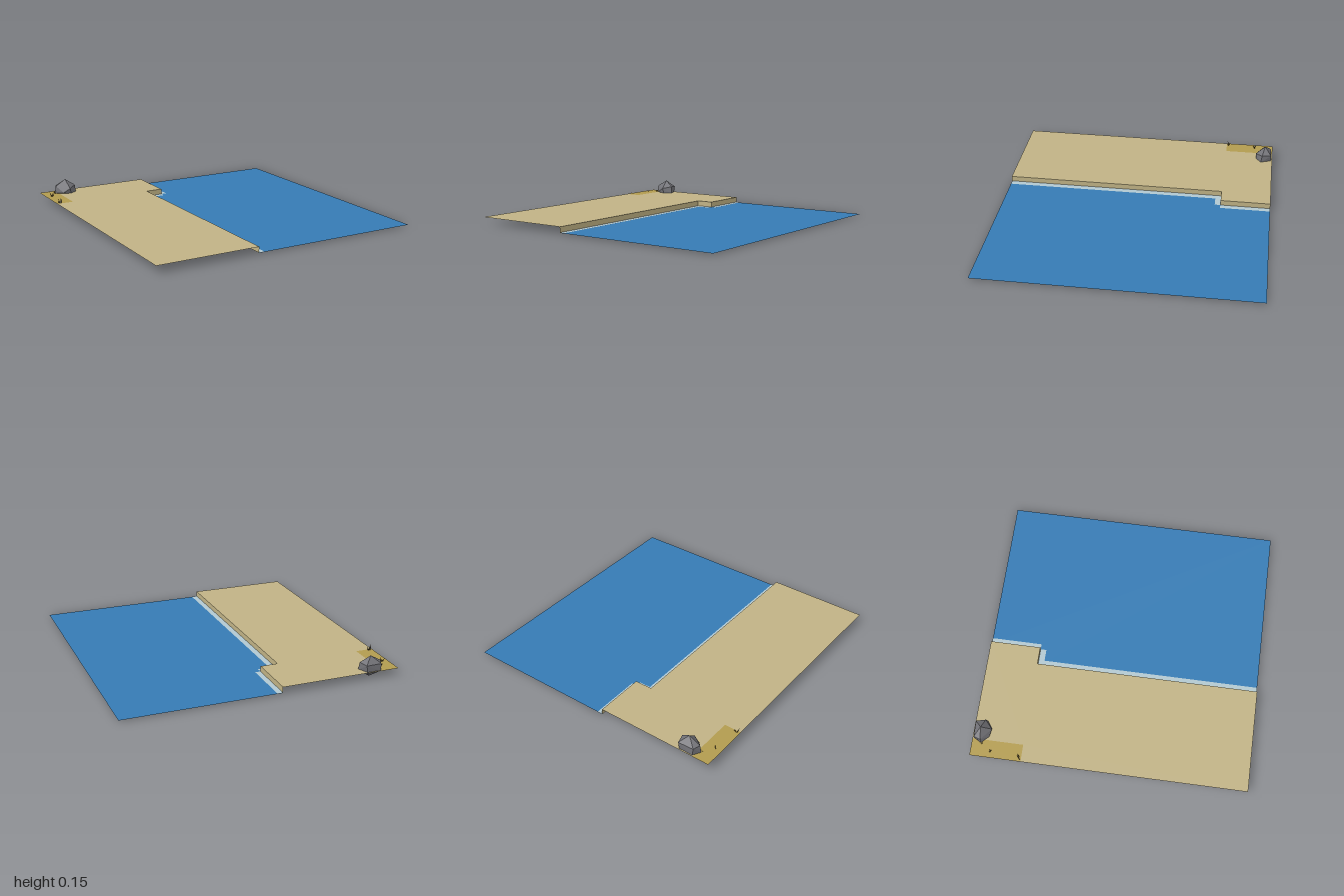
import * as THREE from 'three';
import { ConvexGeometry } from 'three/addons/geometries/ConvexGeometry.js';

const LAND_Y = 0.052, WATER_Y = 0.01;

function material(name, color) {
  const m = new THREE.MeshStandardMaterial({ color, side: THREE.DoubleSide });
  m.name = name;
  return m;
}

// Flat horizontal polygon from [x, z] corners
function sheet(corners, y) {
  const shape = new THREE.Shape(corners.map(([x, z]) => new THREE.Vector2(x, -z)));
  return new THREE.ShapeGeometry(shape).rotateX(-Math.PI / 2).translate(0, y, 0);
}

export function createModel() {
  const model = new THREE.Group();
  model.name = 'shoreTile';
  const sand = material('sand', 0xc0b285);
  const dirt = material('ochre earth', 0xb29b4f);
  const water = material('water', 0x367bb4);
  const foam = material('foam', 0xb2c8d0);
  const stone = material('stone', 0x727277);
  const straw = material('dry grass', 0x4a3d1e);

  const add = (parent, name, geometry, mat) => {
    const mesh = new THREE.Mesh(geometry, mat);
    mesh.name = name;
    parent.add(mesh);
    return mesh;
  };

  // Stepped shoreline, front to back
  const shore = [[-0.255, 1], [-0.255, -0.63], [-0.127, -0.63], [-0.127, -1]];

  // Beach top, leaving room for the earth patch in the corner
  add(model, 'beach', sheet([[-1, 1], ...shore, [-0.875, -1], [-0.875, -0.63], [-1, -0.63]], LAND_Y), sand);
  add(model, 'earthPatch', sheet([[-1, -0.63], [-0.875, -0.63], [-0.875, -1], [-1, -1]], LAND_Y), dirt);

  // Water surface
  add(model, 'waterSurface', sheet([...shore, [1, -1], [1, 1]], WATER_Y), water);

  // Bank walls along the shoreline
  const bank = new THREE.Group();
  bank.name = 'bank';
  model.add(bank);
  for (let i = 0; i < shore.length - 1; i++) {
    const [x0, z0] = shore[i], [x1, z1] = shore[i + 1];
    const wall = add(bank, 'bankWall', new THREE.PlaneGeometry(Math.hypot(x1 - x0, z1 - z0), LAND_Y - WATER_Y), sand);
    wall.position.set((x0 + x1) / 2, (LAND_Y + WATER_Y) / 2, (z0 + z1) / 2);
    wall.rotation.y = Math.atan2(z0 - z1, x1 - x0);
  }

  // Foam edge lying on the water
  add(model, 'foamEdge', sheet([...shore, [-0.087, -1], [-0.087, -0.63],
    [-0.127, -0.63], [-0.127, -0.587], [-0.212, -0.587], [-0.212, 1]], WATER_Y + 0.002), foam);

  // Faceted boulder
  const rockPoints = [
    [-0.81, 0.152, -0.94], [-0.74, 0.104, -0.92], [-0.735, 0.045, -0.91],
    [-0.757, 0.1, -0.99], [-0.765, 0.05, -0.99], [-0.805, 0.001, -0.94],
    [-0.9, 0.05, -0.935], [-0.89, 0.106, -0.935], [-0.872, 0.1, -0.985],
    [-0.868, 0.05, -0.99], [-0.8, 0.09, -0.868], [-0.848, 0.06, -0.88], [-0.785, 0.04, -0.875],
  ].map((p) => new THREE.Vector3(...p));
  add(model, 'boulder', new ConvexGeometry(rockPoints), stone);

  // Dry grass tufts: each blade is a thin tapered leaf leaning outward
  const tufts = [
    { at: [-0.975, -0.645], blades: [[-0.012, 0.04, 0.015], [0.012, 0.035, -0.012], [0.02, 0.03, -0.01], [0.004, 0.022, 0.012]] },
    { at: [-0.952, -0.855], blades: [[-0.012, 0.034, -0.016], [0.008, 0.03, 0.014], [0.002, 0.02, -0.008]] },
    { at: [-0.9, -0.925], blades: [[-0.008, 0.026, -0.008], [0.006, 0.02, 0.008]] },
  ];
  for (const { at: [x, z], blades } of tufts) {
    const tuft = new THREE.Group();
    tuft.name = 'grassTuft';
    tuft.position.set(x, LAND_Y, z);
    model.add(tuft);
    blades.forEach(([dx, h, dz], i) => {
      const ox = (i - 1) * 0.005, w = 0.003;
      const g = new THREE.BufferGeometry();
      g.setAttribute('position', new THREE.Float32BufferAttribute([
        ox - w, 0, -w, ox + w, 0, w, ox + dx, h, dz,
      ], 3));
      g.computeVertexNormals();
      add(tuft, 'grassBlade', g, straw);
    });
  }
  return model;
}
